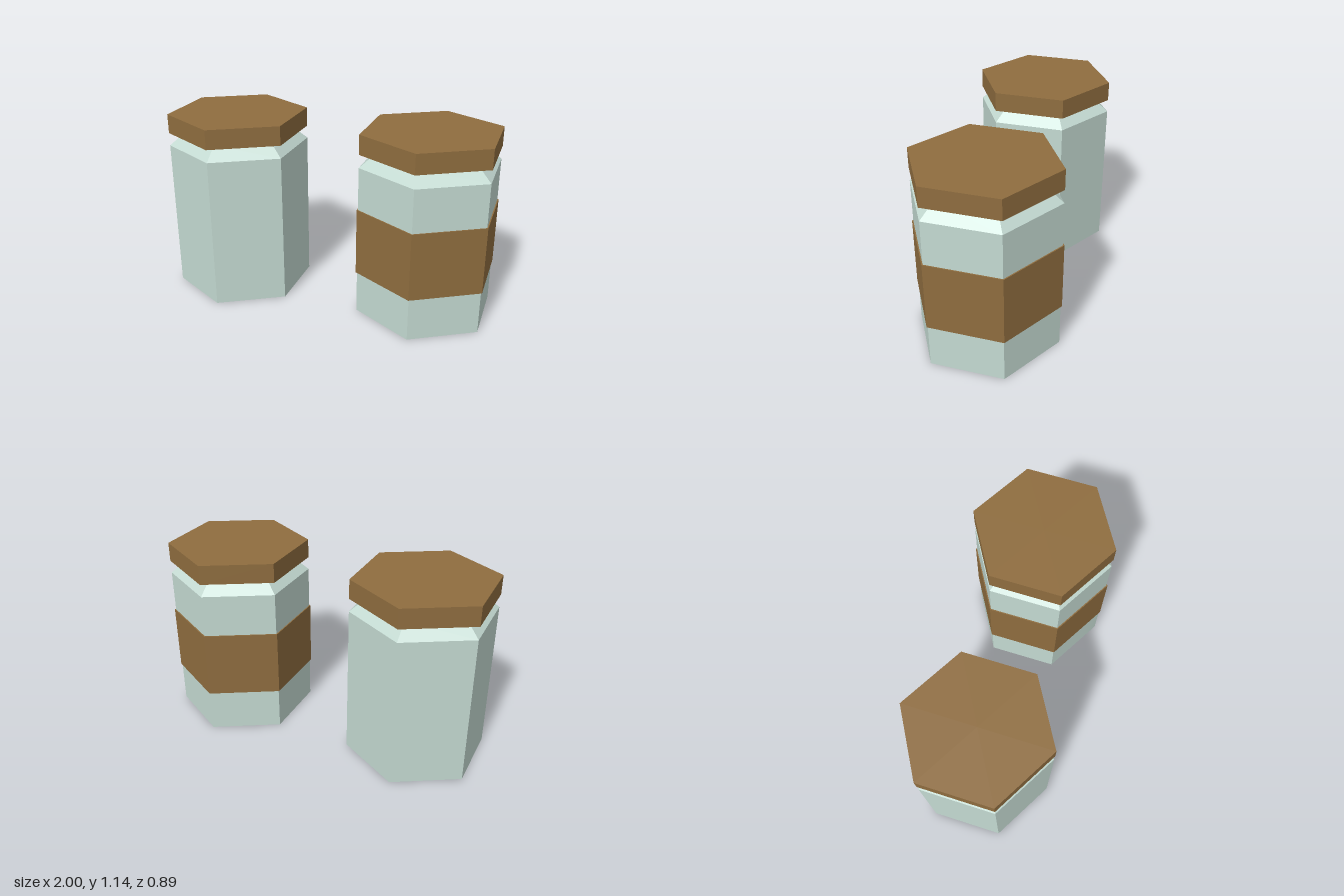
import * as THREE from 'three';

const glass = new THREE.MeshStandardMaterial({ color: 0xc4dad2, flatShading: true });
const wood = new THREE.MeshStandardMaterial({ color: 0x8f6d3f, flatShading: true });

// Six-sided prism or frustum between two heights, corners facing +z and -z
function hexPart(name, bottomRadius, topRadius, y0, y1, material, openEnded = false) {
  const geometry = new THREE.CylinderGeometry(topRadius, bottomRadius, y1 - y0, 6, 1, openEnded);
  geometry.translate(0, (y0 + y1) / 2, 0);
  const mesh = new THREE.Mesh(geometry, material);
  mesh.name = name;
  return mesh;
}

// Hexagonal jar: straight body, sloped shoulder and overhanging lid
function makeJar(name, x) {
  const jar = new THREE.Group();
  jar.name = name;
  jar.position.x = x;

  // Body and shoulder share one closed stepped profile
  const profile = [[0, 0], [0.435, 0], [0.435, 0.945], [0.338, 1.025], [0, 1.025]];
  const points = profile.map(([r, y]) => new THREE.Vector2(r, y));
  const body = new THREE.Mesh(new THREE.LatheGeometry(points, 6), glass);
  body.name = 'jarBody';

  jar.add(body, hexPart('lid', 0.435, 0.435, 1.025, 1.145, wood));
  return jar;
}

export function createModel() {
  const model = new THREE.Group();
  model.name = 'jars';

  const plainJar = makeJar('plainJar', -0.623);
  const bandedJar = makeJar('bandedJar', 0.614);

  // Wrapped band around the middle of one jar
  bandedJar.add(hexPart('band', 0.443, 0.443, 0.267, 0.682, wood));

  model.add(plainJar, bandedJar);
  return model;
}
